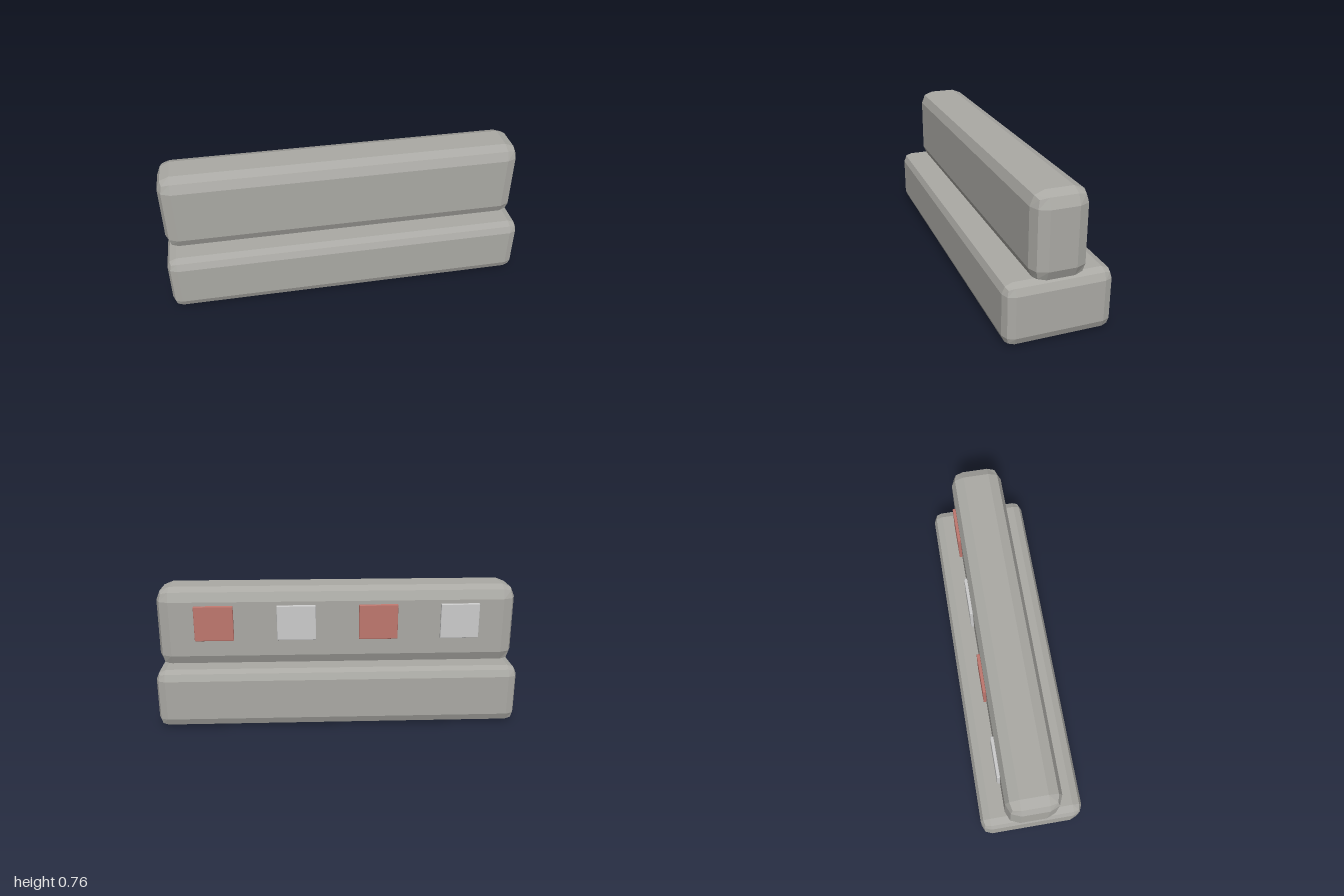
import * as THREE from 'three';
import { RoundedBoxGeometry } from 'three/addons/geometries/RoundedBoxGeometry.js';

const stone = new THREE.MeshStandardMaterial({ color: 0xaaa9a4, flatShading: true });
const red = new THREE.MeshStandardMaterial({ color: 0xbe776e, flatShading: true });
const grey = new THREE.MeshStandardMaterial({ color: 0xcccccc, flatShading: true });

// Box with a faceted two-step bevel on every edge
function block(name, material, [w, h, d], bevel, [x, y, z]) {
  const geometry = new RoundedBoxGeometry(w, h, d, 1, bevel);
  geometry.computeVertexNormals();
  const mesh = new THREE.Mesh(geometry, material);
  mesh.name = name;
  mesh.position.set(x, y, z);
  return mesh;
}

export function createModel() {
  const model = new THREE.Group();
  model.name = 'barrier';

  // Wide lower block, with the narrow upper block sunk slightly into it
  model.add(block('base', stone, [2, 0.328, 0.563], 0.053, [0, 0.164, 0]));
  model.add(block('upperWall', stone, [2, 0.454, 0.29], 0.0725, [0, 0.53, 0]));

  // Alternating panels along the back
  for (let i = 0; i < 4; i++) {
    const x = (i - 1.5) * 0.4545;
    model.add(block(i % 2 ? 'redPanel' : 'greyPanel', i % 2 ? red : grey,
      [0.216, 0.198, 0.018], 0.0045, [x, 0.566, -0.1535]));
  }
  return model;
}
